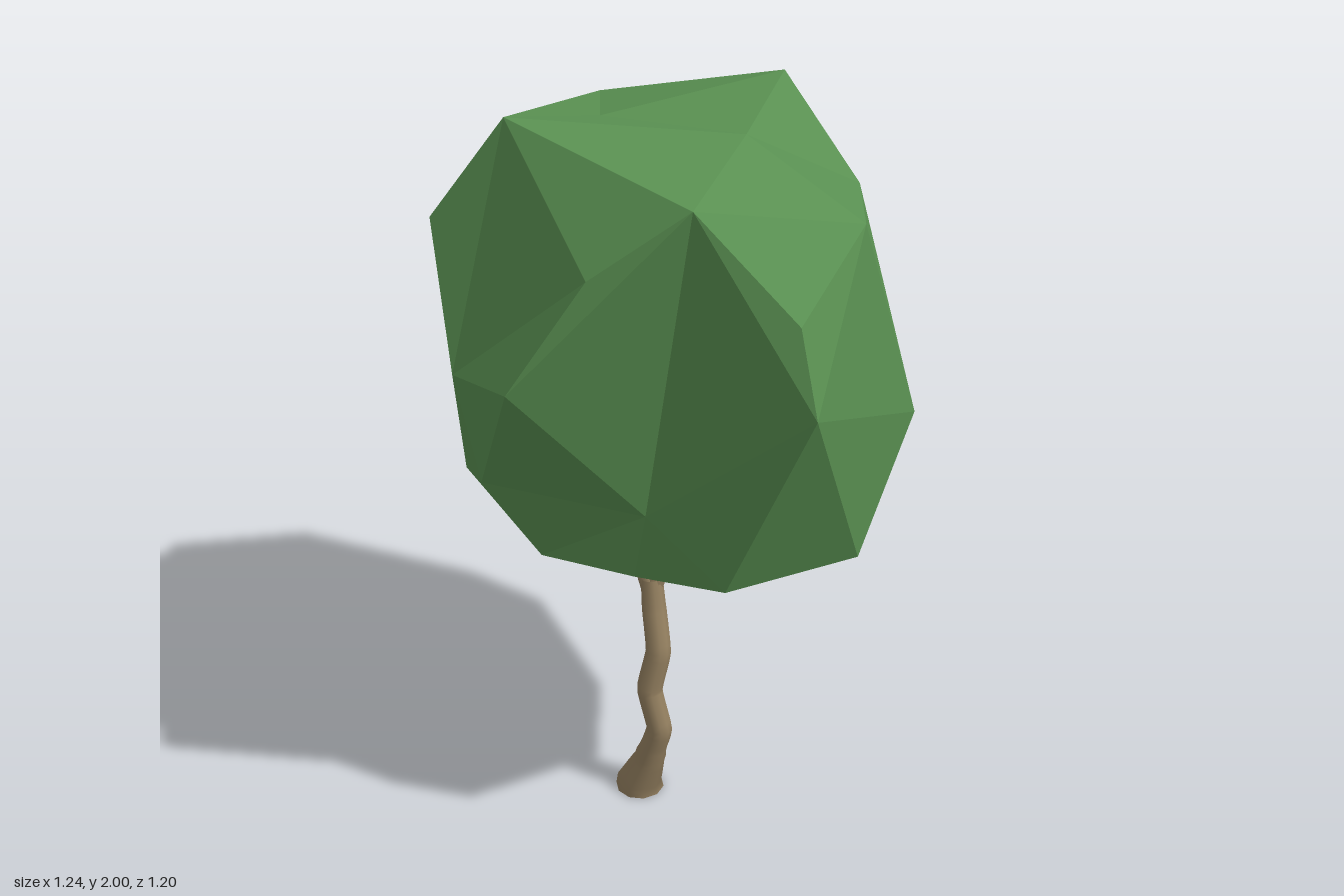
import * as THREE from 'three';
import { ConvexGeometry } from 'three/addons/geometries/ConvexGeometry.js';

const leafGreen = new THREE.MeshStandardMaterial({ name: 'leafGreen', color: 0x5a9152 });
const barkBrown = new THREE.MeshStandardMaterial({ name: 'barkBrown', color: 0x948060 });

// Corners of the faceted crown: x, y, z
const CROWN = [
  // 0-5 top
  -.31, 2, .235, .155, 2, -.365, .22, 1.97, .01, .28, 1.945, .427, -.16, 1.96, .03, -.32, 1.9, -.27,
  // 6-12 shoulders
  .57, 1.85, .115, .54, 1.71, .41, .37, 1.735, -.365, -.24, 1.69, -.55, -.54, 1.75, -.295, -.505, 1.725, .28, .05, 1.76, .505,
  // 13-19 waist
  .6, 1.5, .44, -.12, 1.47, .597, -.395, 1.365, .39, .13, 1.37, -.6, -.45, 1.32, -.54, .62, 1.23, -.175, -.62, 1.16, -.31,
  // 20-25 skirt, with the notch at the front
  -.32, 1.08, .4, .145, 1.105, .4, -.49, .975, .2, .17, 1.08, -.56, -.32, 1.07, -.56, -.62, .92, -.09,
  // 26-33 rim and hollow of the underside
  .575, .915, .06, .355, .935, .385, .095, .895, .365, -.28, .745, .18, -.34, .72, -.35, .01, .87, -.465, .38, .875, -.25, .05, .96, -.02,
];

// Creases of the crown, as pairs of corners that must be joined
const CREASES = [
  [3, 14], [3, 21], [3, 13], [14, 21], [0, 15], [12, 15], [14, 20], [20, 21], [21, 22],
  [0, 2], [2, 8], [2, 6], [1, 9], [9, 17], [16, 17], [16, 26], [23, 26], [28, 30],
];

// Joins the corners around a centre, so that dents stay in the surface: the
// hull is taken with the distances evened out, then edges that cross a crease are flipped.
function crownGeometry() {
  const centre = new THREE.Vector3(0, 1.38, 0);
  const corners = [];
  for (let i = 0; i < CROWN.length; i += 3) corners.push(new THREE.Vector3().fromArray(CROWN, i));
  const rays = corners.map((p) => p.clone().sub(centre));
  const evened = rays.map((r) => r.clone().setLength(Math.pow(r.length(), 0.22)));

  // Hull faces as triples of corner numbers
  const pos = new ConvexGeometry(evened).attributes.position;
  const faces = [];
  const v = new THREE.Vector3();
  for (let i = 0; i < pos.count; i++) {
    v.fromBufferAttribute(pos, i);
    const n = evened.findIndex((p) => p.distanceTo(v) < 1e-4);
    if (i % 3 === 0) faces.push([n]);
    else faces[faces.length - 1].push(n);
  }

  const side = (a, b, p) => new THREE.Vector3().crossVectors(rays[a], rays[b]).dot(rays[p]);
  const crosses = (a, b, c, d) =>
    new Set([a, b, c, d]).size === 4 &&
    side(a, b, c) * side(a, b, d) < 0 && side(c, d, a) * side(c, d, b) < 0 &&
    rays[a].clone().add(rays[b]).dot(rays[c].clone().add(rays[d])) > 0;

  // Flips one edge that crosses the crease c-d; false when none is left
  function flipOne(c, d) {
    for (const f of faces) {
      for (let k = 0; k < 3; k++) {
        const [a, b, e] = [f[k], f[(k + 1) % 3], f[(k + 2) % 3]];
        if (!crosses(a, b, c, d)) continue;
        const g = faces.find((h) => h !== f && h.includes(a) && h.includes(b));
        const o = g.find((n) => n !== a && n !== b);
        if (!crosses(a, b, e, o) || crosses(e, o, c, d)) continue;
        f.splice(0, 3, e, a, o);
        g.splice(0, 3, o, b, e);
        return true;
      }
    }
    return false;
  }
  for (const [c, d] of CREASES) while (flipOne(c, d));

  const geometry = new THREE.BufferGeometry().setFromPoints(faces.flat().map((n) => corners[n]));
  geometry.computeVertexNormals();
  return geometry;
}

// Tapered limb; each stop is [x, y, z, radius]
function limb(name, stops, sides = 8) {
  const path = new THREE.CatmullRomCurve3(
    stops.map(([x, y, z]) => new THREE.Vector3(x, y, z)), false, 'catmullrom', 0.2);
  const rings = (stops.length - 1) * 4;
  const geometry = new THREE.TubeGeometry(path, rings, 1, sides);
  const pos = geometry.attributes.position;
  const v = new THREE.Vector3();
  for (let i = 0; i <= rings; i++) {
    const centre = path.getPointAt(i / rings);
    const t = path.getUtoTmapping(i / rings) * (stops.length - 1);
    const k = Math.min(Math.floor(t), stops.length - 2);
    const radius = THREE.MathUtils.lerp(stops[k][3], stops[k + 1][3], t - k);
    for (let j = 0; j <= sides; j++) {
      const n = i * (sides + 1) + j;
      v.fromBufferAttribute(pos, n).sub(centre).multiplyScalar(radius).add(centre);
      pos.setXYZ(n, v.x, v.y, v.z);
    }
  }
  const mesh = new THREE.Mesh(geometry, barkBrown);
  mesh.name = name;
  return mesh;
}

export function createModel() {
  const tree = new THREE.Group();
  tree.name = 'tree';

  const crown = new THREE.Mesh(crownGeometry(), leafGreen);
  crown.name = 'crown';
  tree.add(crown);

  // Crooked trunk with a flared, closed foot
  tree.add(limb('trunk', [
    [-.026, 0, .107, .068], [-.026, .02, .107, .064], [.002, .1, .105, .043], [.012, .135, .105, .042], [.016, .15, .105, .037],
    [.035, .22, .105, .036], [.003, .34, .1, .036], [.02, .46, .08, .035], [-.008, .58, .05, .034], [-.022, .66, .035, .03],
  ], 10));
  const foot = new THREE.Mesh(new THREE.CircleGeometry(.068, 10), barkBrown);
  foot.name = 'foot';
  foot.rotation.x = Math.PI / 2;
  foot.position.set(-.026, .001, .107);
  tree.add(foot);

  // Branches reaching under the crown
  tree.add(limb('rightBranch', [[-.02, .62, .04, .026], [-.07, .735, .02, .026], [-.12, .775, -.03, .024], [-.2, .8, -.14, .018], [-.21, .805, -.15, .001]]));
  tree.add(limb('rightTwig', [[-.11, .77, -.02, .02], [-.18, .78, -.01, .024], [-.21, .74, 0, .03], [-.212, .71, 0, .028], [-.212, .705, 0, .001]]));
  tree.add(limb('leftBranch', [[-.02, .62, .04, .026], [.01, .73, .01, .026], [.08, .81, -.04, .025], [.18, .845, -.07, .022], [.29, .85, -.07, .02], [.32, .88, -.04, .012], [.325, .885, -.04, .001]]));
  tree.add(limb('innerBranch', [[-.02, .63, .04, .024], [-.01, .72, 0, .024], [.04, .8, -.04, .022], [.08, .85, -.1, .018], [.06, .885, -.15, .012], [.06, .89, -.155, .001]]));
  tree.add(limb('leftTwig', [[.1, .82, -.04, .02], [.16, .855, -.01, .016], [.22, .87, .03, .006]]));
  return tree;
}
